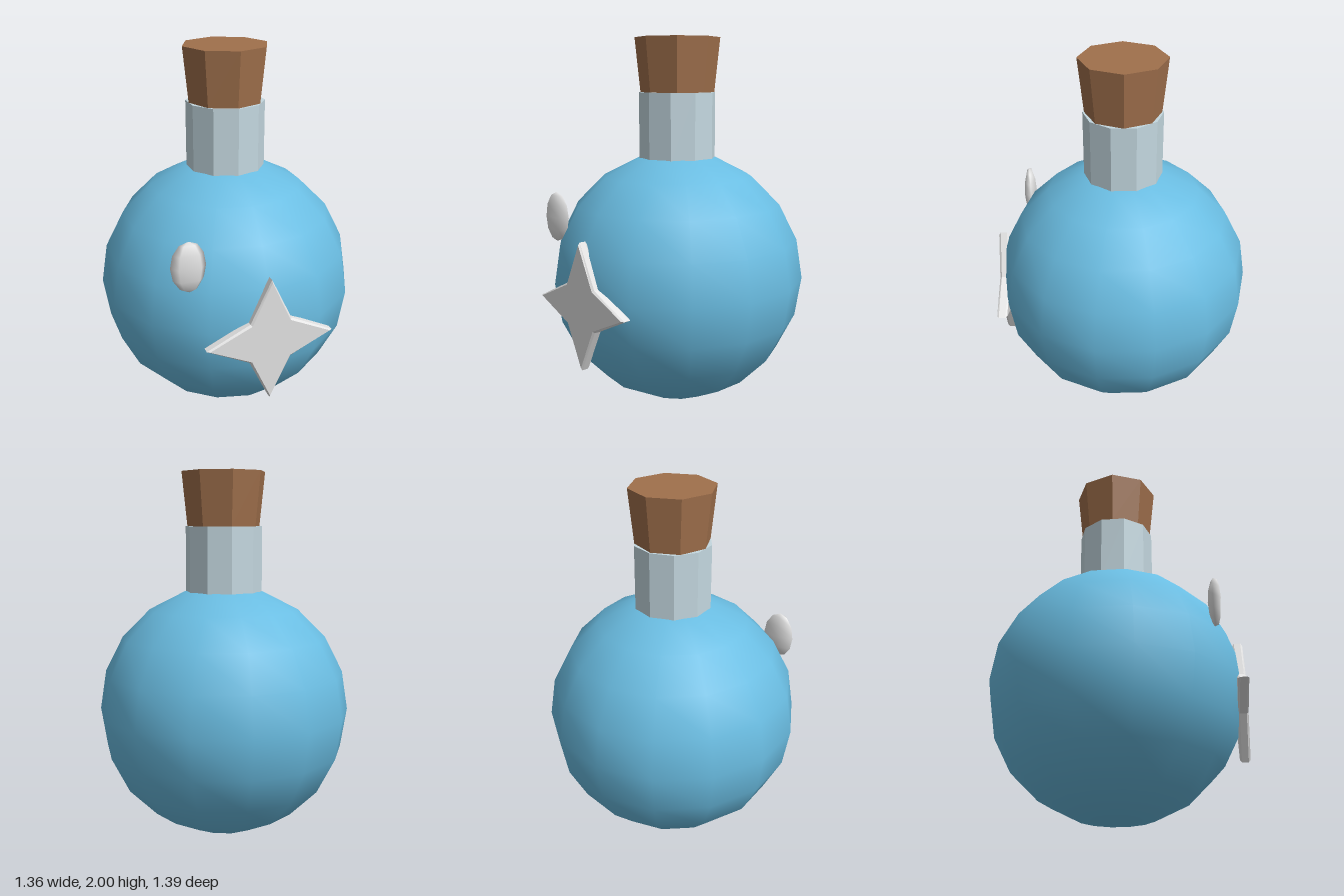
import * as THREE from 'three';

const paint = (name, color, flatShading = false) => {
  const m = new THREE.MeshStandardMaterial({ color, flatShading });
  m.name = name;
  return m;
};

export function createModel() {
  const group = new THREE.Group();
  group.name = 'potionBottle';
  const blue = paint('liquidBlue', 0x6abde2);
  const glass = paint('paleGlass', 0xc4d8e0, true);
  const cork = paint('corkBrown', 0xa0704c, true);
  const white = paint('softWhite', 0xe4e4e4);

  const add = (name, geometry, material, x, y, z) => {
    const mesh = new THREE.Mesh(geometry, material);
    mesh.name = name;
    mesh.position.set(x, y, z);
    group.add(mesh);
    return mesh;
  };

  // Round flask body, with a corner column facing front and back
  add('flask', new THREE.SphereGeometry(0.695, 14, 10).rotateY(Math.PI / 2), blue, 0, 0.695, 0);

  // Ten-sided neck, sunk slightly into the flask
  add('neck', new THREE.CylinderGeometry(0.209, 0.209, 0.37, 10), glass, 0, 1.525, 0);

  // Flared eight-sided stopper
  add('stopper', new THREE.CylinderGeometry(0.23, 0.2, 0.29, 8), cork, 0, 1.855, 0);

  // Four-pointed star emblem with a small bevel
  const points = [];
  for (let i = 0; i < 8; i++) {
    const r = i % 2 ? 0.155 : 0.337;
    const a = (i * Math.PI) / 4;
    points.push(new THREE.Vector2(r * Math.cos(a), r * Math.sin(a)));
  }
  const bevel = 0.01;
  const star = new THREE.ExtrudeGeometry(new THREE.Shape(points), {
    depth: 0.055 - 2 * bevel,
    bevelEnabled: true,
    bevelThickness: bevel,
    bevelSize: bevel,
    bevelOffset: -bevel,
    bevelSegments: 1,
  });
  add('starEmblem', star, white, 0, 0.643, 0.64 + bevel);

  // Flattened oval glint on the upper front
  const glint = new THREE.SphereGeometry(1, 5, 6).rotateY(-Math.PI / 2).scale(0.096, 0.135, 0.036);
  add('glint', glint, white, -0.378, 1.045, 0.546);

  return group;
}
